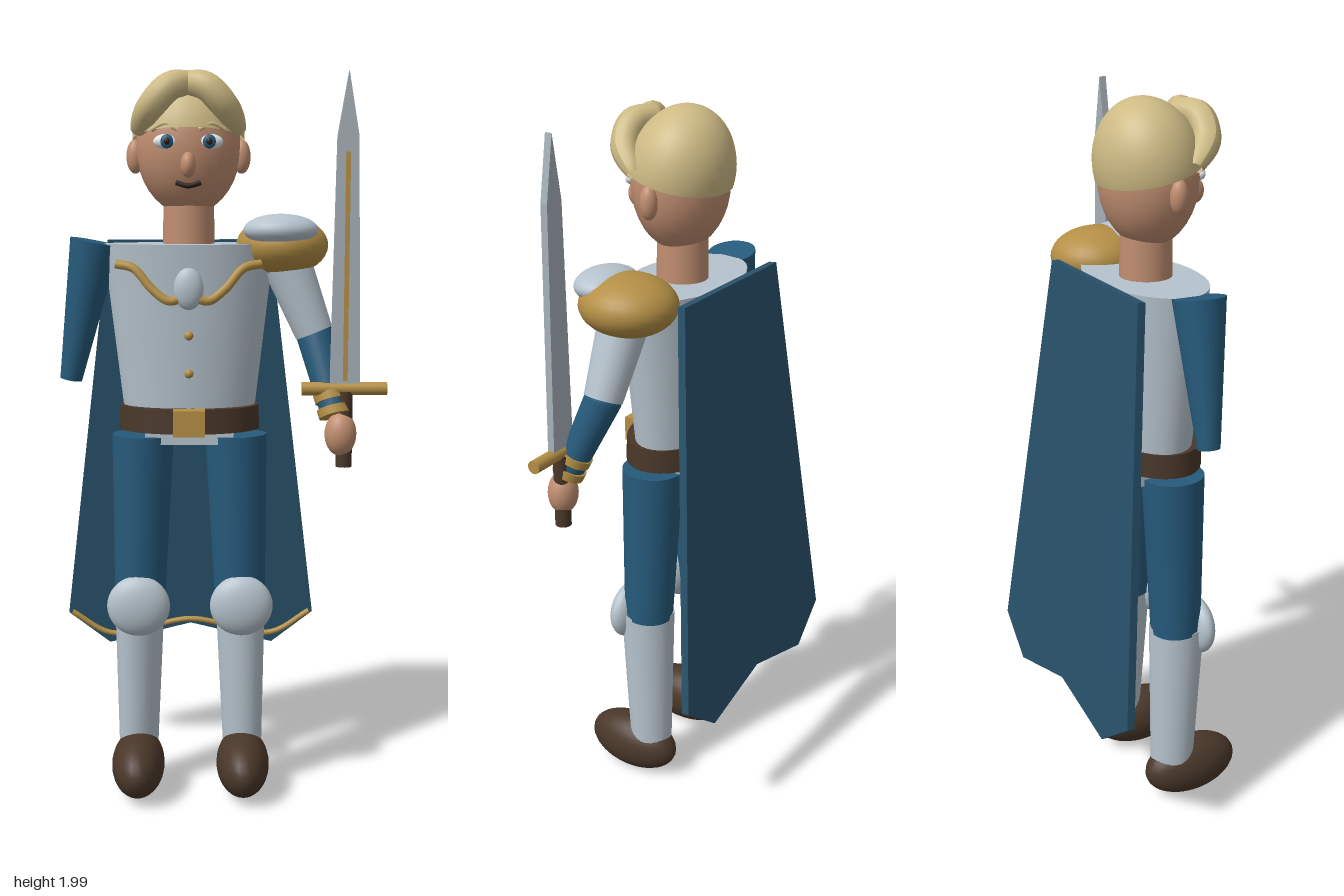
import * as THREE from 'three';

const mat = (name, color, side = THREE.FrontSide) => {
  const m = new THREE.MeshStandardMaterial({ color, side });
  m.name = name;
  return m;
};
const V = (x, y, z) => new THREE.Vector3(x, y, z);

export function createModel() {
  const armour = mat('armour silver', 0xb6c3cd);
  const steel = mat('blade steel', 0xa6b1b9);
  const cloth = mat('cloth blue', 0x265a7b);
  const capeBlue = mat('cape blue', 0x28526b);
  const gold = mat('gold trim', 0xb48f45);
  const skin = mat('skin', 0xc08e70);
  const blond = mat('blond hair', 0xcdba84, THREE.DoubleSide);
  const leather = mat('brown leather', 0x493729);
  const white = mat('eye white', 0xe6eaec);
  const dark = mat('dark line', 0x2a1d17);

  const root = new THREE.Group();
  root.name = 'knight';
  // The body axis sits left of the overall centre because of the sword
  const body = new THREE.Group();
  body.name = 'body';
  body.position.x = -0.085;
  root.add(body);

  const add = (name, geo, material, pos = [0, 0, 0], parent = body) => {
    const m = new THREE.Mesh(geo, material);
    m.name = name;
    m.position.set(...pos);
    parent.add(m);
    return m;
  };
  const ball = (name, material, pos, r, parent = body) =>
    add(name, new THREE.SphereGeometry(1, 28, 18).scale(...r), material, pos, parent);
  const box = (name, material, pos, size, parent = body) =>
    add(name, new THREE.BoxGeometry(...size), material, pos, parent);
  const barrel = (name, material, pos, rTop, rBottom, h, depth) =>
    add(name, new THREE.CylinderGeometry(rTop, rBottom, h, 32).scale(1, 1, depth), material, pos);
  // Tapered limb between two points
  const limb = (name, material, a, b, ra, rb, parent = body) => {
    const d = b.clone().sub(a);
    const m = add(name, new THREE.CylinderGeometry(rb, ra, d.length(), 24), material,
      a.clone().add(b).multiplyScalar(0.5).toArray(), parent);
    m.quaternion.setFromUnitVectors(V(0, 1, 0), d.normalize());
    return m;
  };
  const tube = (name, material, points, r, parent = body) =>
    add(name, new THREE.TubeGeometry(new THREE.CatmullRomCurve3(points), 40, r, 10), material, [0, 0, 0], parent);

  // Torso, belt and hips
  barrel('breastplate', armour, [0, 1.3, 0.025], 0.232, 0.176, 0.48, 0.6);
  barrel('belt', leather, [0, 1.07, 0.035], 0.19, 0.193, 0.066, 0.67);
  box('buckle', gold, [0, 1.07, 0.172], [0.085, 0.07, 0.05]);
  box('hipPlate', armour, [0, 1.03, 0.02], [0.24, 0.06, 0.18]);
  ball('medallion', armour, [0, 1.427, 0.192], [0.039, 0.055, 0.022]);
  for (const y of [1.305, 1.205]) ball('stud', gold, [0, y, 0.195], [0.012, 0.012, 0.01]);
  tube('chestTrim', gold, [V(-0.19, 1.49, 0.15), V(-0.145, 1.48, 0.165), V(-0.095, 1.425, 0.18), V(-0.05, 1.395, 0.19),
    V(0, 1.41, 0.19), V(0.05, 1.395, 0.19), V(0.095, 1.425, 0.18), V(0.145, 1.48, 0.165), V(0.19, 1.49, 0.15)], 0.012);

  // Legs
  for (const s of [-1, 1]) {
    const leg = new THREE.Group();
    leg.name = s > 0 ? 'leftLeg' : 'rightLeg';
    body.add(leg);
    limb('thigh', cloth, V(s * 0.128, 1.02, 0.043), V(s * 0.14, 0.55, 0.052), 0.085, 0.07, leg);
    const shin = limb('greave', armour, V(s * 0.14, 0.56, 0.055), V(s * 0.147, 0.12, 0.042), 0.077, 0.061, leg);
    shin.scale.z = 0.85;
    ball('kneeGuard', armour, [s * 0.142, 0.55, 0.115], [0.087, 0.085, 0.04], leg);
    ball('boot', leather, [s * 0.147, 0.088, 0.105], [0.074, 0.086, 0.145], leg);
  }

  // Head and face
  barrel('neck', skin, [0, 1.59, 0.03], 0.068, 0.07, 0.13, 1);
  ball('head', skin, [0, 1.795, 0.035], [0.14, 0.178, 0.127]);
  ball('nose', skin, [0, 1.745, 0.175], [0.02, 0.033, 0.026]);
  for (const s of [-1, 1]) {
    ball('ear', skin, [s * 0.142, 1.77, 0.04], [0.024, 0.045, 0.024]);
    ball('eye', white, [s * 0.055, 1.805, 0.143], [0.036, 0.02, 0.018]);
    ball('iris', cloth, [s * 0.055, 1.805, 0.157], [0.017, 0.018, 0.008]);
    ball('pupil', dark, [s * 0.055, 1.805, 0.163], [0.008, 0.009, 0.005]);
    tube('eyebrow', blond, [V(s * 0.028, 1.835, 0.157), V(s * 0.06, 1.85, 0.152), V(s * 0.095, 1.835, 0.137)], 0.006);
  }
  tube('mouth', dark, [V(-0.032, 1.7, 0.142), V(0, 1.692, 0.147), V(0.032, 1.7, 0.142)], 0.007);

  // Hair cap and two swept locks that taper at the tips
  const cap = add('hairCap', new THREE.SphereGeometry(1, 32, 16, 0, Math.PI * 2, 0, Math.PI * 0.52).scale(0.15, 0.176, 0.137),
    blond, [0, 1.822, 0.034]);
  cap.rotation.x = -0.22;
  for (const s of [-1, 1]) {
    const curve = new THREE.CatmullRomCurve3([V(-s * 0.015, 1.955, 0.12), V(s * 0.045, 1.945, 0.152),
      V(s * 0.095, 1.895, 0.147), V(s * 0.135, 1.835, 0.09)]);
    const n = 20, k = 12;
    const geo = new THREE.TubeGeometry(curve, n, 1, k);
    const p = geo.attributes.position;
    for (let i = 0; i < p.count; i++) {
      const t = Math.floor(i / (k + 1)) / n;
      const c = curve.getPointAt(t);
      const r = 0.012 + 0.026 * Math.sqrt(Math.sin(Math.PI * (0.12 + 0.86 * t)));
      const v = V(p.getX(i), p.getY(i), p.getZ(i)).sub(c).multiplyScalar(r).add(c);
      p.setXYZ(i, v.x, v.y, v.z);
    }
    geo.computeVertexNormals();
    add('hairLock', geo, blond);
  }

  // Right sleeve
  limb('rightSleeve', cloth, V(-0.41, 1.17, 0.025), V(-0.338, 1.545, 0.033), 0.03, 0.068, root);

  // Left arm with shoulder guard
  const elbow = V(0.255, 1.3, 0.05), wrist = V(0.306, 1.09, 0.132);
  const arm = new THREE.Group();
  arm.name = 'leftArm';
  root.add(arm);
  ball('shoulderGuard', gold, [0.168, 1.535, 0.028], [0.125, 0.08, 0.132], arm);
  ball('shoulderPlate', armour, [0.16, 1.577, 0.1], [0.1, 0.043, 0.077], arm);
  limb('upperArm', armour, V(0.175, 1.5, 0.035), elbow, 0.068, 0.052, arm);
  ball('elbow', cloth, elbow.toArray(), [0.049, 0.049, 0.049], arm);
  limb('forearm', cloth, elbow, wrist, 0.05, 0.037, arm);
  for (const t of [0.8, 0.98]) {
    const a = elbow.clone().lerp(wrist, t - 0.05), b = elbow.clone().lerp(wrist, t + 0.05);
    limb('cuff', gold, a, b, 0.045, 0.044, arm);
  }
  ball('hand', skin, [0.322, 1.035, 0.14], [0.043, 0.06, 0.04], arm);

  // Sword
  const sword = new THREE.Group();
  sword.name = 'sword';
  sword.position.set(0.332, 0, 0.135);
  root.add(sword);
  limb('grip', leather, V(0, 0.945, 0), V(0, 1.15, 0), 0.022, 0.022, sword);
  limb('crossGuard', gold, V(-0.115, 1.157, 0), V(0.113, 1.157, 0), 0.018, 0.018, sword);
  const outline = [[-0.04, 1.16], [0.04, 1.16], [0.028, 1.82], [0, 1.985], [-0.028, 1.82]];
  const bladeShape = new THREE.Shape(outline.map(([x, y]) => new THREE.Vector2(x, y)));
  add('blade', new THREE.ExtrudeGeometry(bladeShape, { depth: 0.02, bevelEnabled: false }), steel, [0, 0, -0.01], sword);
  box('fuller', gold, [0, 1.48, 0.012], [0.012, 0.6, 0.008], sword);

  // Cape: a tilted panel with a notched hem and gold braid
  const cape = new THREE.Group();
  cape.name = 'cape';
  cape.position.set(0, 1.545, -0.105);
  cape.rotation.x = 0.095;
  body.add(cape);
  const hem = [[-0.365, -1.115], [-0.243, -1.212], [0, -1.15], [0.243, -1.212], [0.365, -1.115]];
  const capeShape = new THREE.Shape([[0.228, 0], [-0.228, 0], ...hem].map(([x, y]) => new THREE.Vector2(x, y)));
  add('capePanel', new THREE.ExtrudeGeometry(capeShape, { depth: 0.022, bevelEnabled: false }), capeBlue, [0, 0, -0.022], cape);
  tube('capeBraid', gold, [[-0.355, -1.11], [-0.235, -1.18], [0, -1.135], [0.235, -1.18], [0.355, -1.11]]
    .map(([x, y]) => V(x, y, 0.006)), 0.008, cape);

  return root;
}
